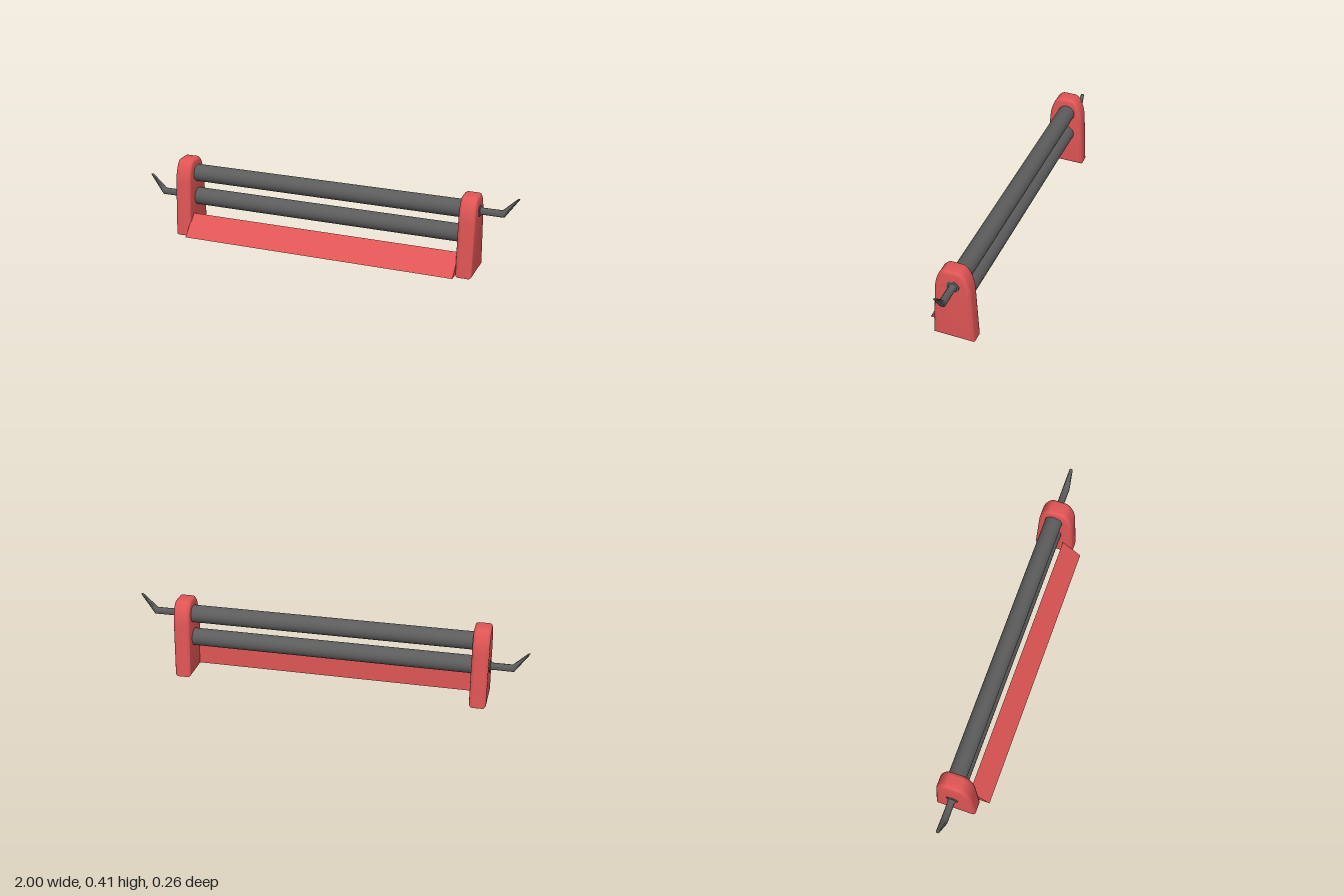
import * as THREE from 'three';
import { toCreasedNormals } from 'three/addons/utils/BufferGeometryUtils.js';

const red = new THREE.MeshStandardMaterial({ color: 0xe05555 });
const grey = new THREE.MeshStandardMaterial({ color: 0x5c5c5c });

const AXLE_Z = -0.031;
const UPPER_Y = 0.322;
const LOWER_Y = 0.192;

function addMesh(parent, name, geometry, material) {
  const mesh = new THREE.Mesh(geometry, material);
  mesh.name = name;
  parent.add(mesh);
  return mesh;
}

// Tapered arch with rounded rims, thickness along x, centred on x = 0
function sidePanelGeometry() {
  const s = new THREE.Shape();
  s.moveTo(-0.104, 0.002);
  s.lineTo(0.104, 0.002);
  s.lineTo(0.09, 0.27);
  s.bezierCurveTo(0.087, 0.35, 0.058, 0.406, 0.028, 0.406);
  s.lineTo(-0.028, 0.406);
  s.bezierCurveTo(-0.058, 0.406, -0.087, 0.35, -0.09, 0.27);
  s.closePath();
  const bevel = 0.017, width = 0.085;
  const g = new THREE.ExtrudeGeometry(s, {
    depth: width - 2 * bevel, curveSegments: 10,
    bevelEnabled: true, bevelSize: bevel, bevelThickness: bevel,
    bevelOffset: -bevel, bevelSegments: 5,
  });
  g.translate(0, -0.002, bevel - width / 2);
  g.rotateY(Math.PI / 2);
  return toCreasedNormals(g, 0.7);
}

// Wedge-shaped tray between the panels
function trayGeometry() {
  const s = new THREE.Shape();
  s.moveTo(-0.13, 0.012);
  s.lineTo(-0.028, 0.012);
  s.lineTo(-0.028, 0.113);
  s.closePath();
  const g = new THREE.ExtrudeGeometry(s, { depth: 1.45, bevelEnabled: false });
  g.translate(0, 0, -0.725);
  g.rotateY(Math.PI / 2);
  return g;
}

// Crank pointing to +x: each ring is [upper x, upper y, lower x, lower y, half width in z]
function crankGeometry() {
  const rings = [
    [0.795, 0.032, 0.795, -0.032, 0.032],
    [0.808, 0.032, 0.808, -0.032, 0.032],
    [0.811, 0.023, 0.811, -0.023, 0.023],
    [0.822, 0.018, 0.822, -0.018, 0.018],
    [0.917, 0.018, 0.928, -0.018, 0.019],
    [0.987, 0.084, 1.0, 0.086, 0.009],
  ];
  const n = 10, pos = [], idx = [];
  for (const [ux, uy, lx, ly, w] of rings) {
    for (let j = 0; j < n; j++) {
      const a = (j / n) * Math.PI * 2, c = Math.cos(a) / 2;
      pos.push((ux + lx) / 2 + (ux - lx) * c, (uy + ly) / 2 + (uy - ly) * c, w * Math.sin(a));
    }
  }
  for (let i = 0; i < rings.length - 1; i++) {
    for (let j = 0; j < n; j++) {
      const a = i * n + j, b = i * n + (j + 1) % n;
      idx.push(a, b, b + n, a, b + n, a + n);
    }
  }
  const tip = (rings.length - 1) * n;
  for (let j = 1; j < n - 1; j++) idx.push(tip, tip + j, tip + j + 1);
  const g = new THREE.BufferGeometry();
  g.setAttribute('position', new THREE.Float32BufferAttribute(pos, 3));
  g.setIndex(idx);
  return toCreasedNormals(g, 0.75);
}

export function createModel() {
  const model = new THREE.Group();
  model.name = 'rollerStand';

  // Side panels
  const panel = sidePanelGeometry();
  for (const [name, side] of [['leftPanel', 1], ['rightPanel', -1]]) {
    addMesh(model, name, panel, red).position.set(side * 0.764, 0, -0.024);
  }

  // Tray
  addMesh(model, 'tray', trayGeometry(), red);

  // Rollers
  const roller = new THREE.CylinderGeometry(0.045, 0.045, 1.46, 32);
  roller.rotateZ(Math.PI / 2);
  addMesh(model, 'upperRoller', roller, grey).position.set(0, UPPER_Y, AXLE_Z);
  addMesh(model, 'lowerRoller', roller, grey).position.set(0, LOWER_Y, AXLE_Z);

  // Cranks on opposite ends
  const crank = crankGeometry();
  addMesh(model, 'upperCrank', crank, grey).position.set(0, UPPER_Y - 0.002, AXLE_Z);
  const lower = addMesh(model, 'lowerCrank', crank, grey);
  lower.position.set(0, LOWER_Y, AXLE_Z);
  lower.rotation.y = Math.PI;

  return model;
}
